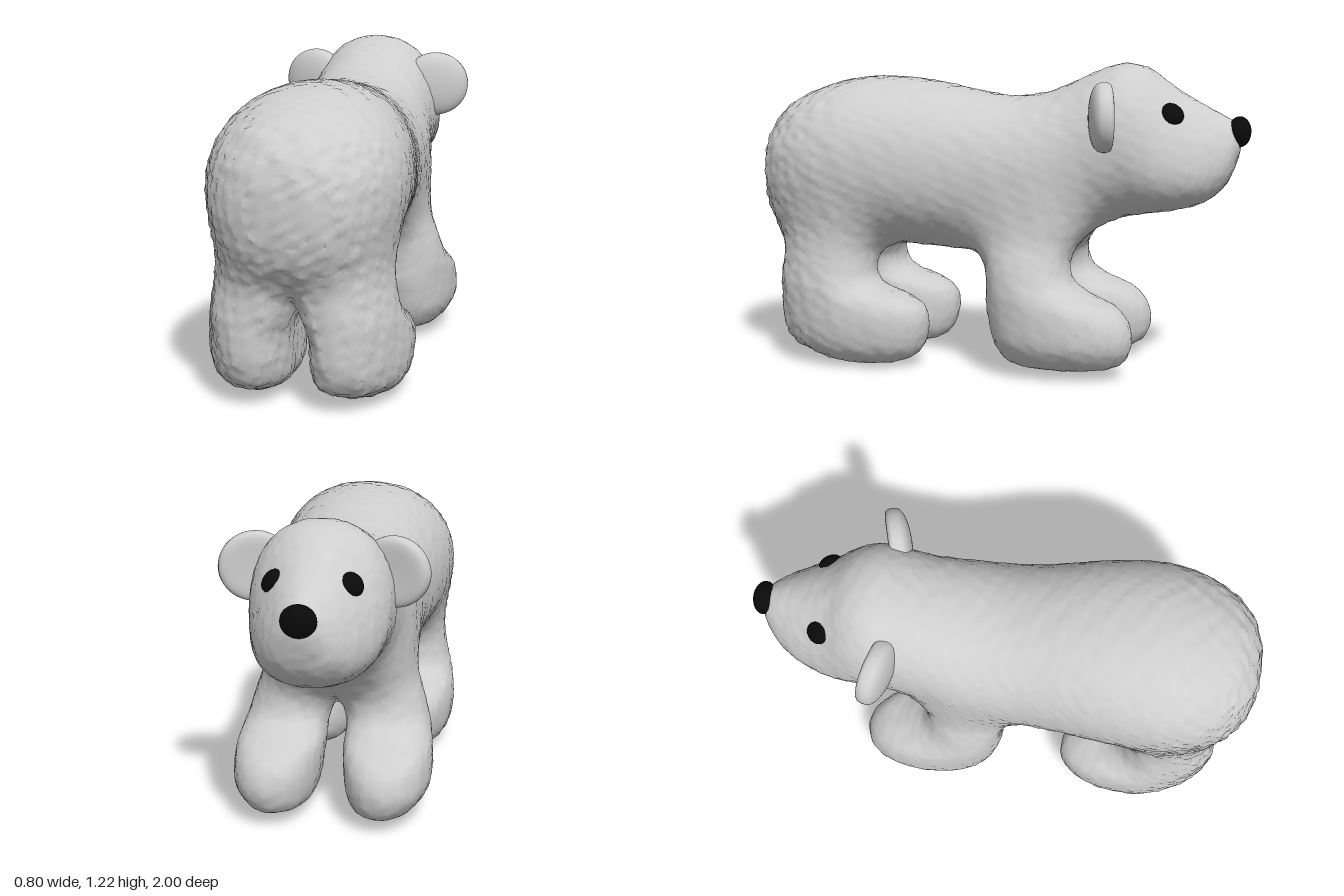
import * as THREE from 'three';

const fur = new THREE.MeshStandardMaterial({ color: 0xcecece });
fur.name = 'light grey fur';
const black = new THREE.MeshStandardMaterial({ color: 0x0a0a0a });
black.name = 'black';

// Body and head, snout to rump: [z, half width, bottom, top]
const bodyKeys = [
  [-0.965, 0, 0.93, 0.93],
  [-0.95, 0.06, 0.86, 0.99],
  [-0.91, 0.115, 0.76, 1.02],
  [-0.83, 0.172, 0.69, 1.06],
  [-0.7, 0.225, 0.65, 1.135],
  [-0.6, 0.258, 0.635, 1.205],
  [-0.5, 0.27, 0.615, 1.225],
  [-0.4, 0.27, 0.57, 1.195],
  [-0.3, 0.28, 0.5, 1.15],
  [-0.2, 0.3, 0.46, 1.11],
  [-0.05, 0.31, 0.455, 1.09],
  [0.1, 0.315, 0.46, 1.11],
  [0.25, 0.335, 0.47, 1.14],
  [0.42, 0.36, 0.48, 1.16],
  [0.6, 0.37, 0.48, 1.155],
  [0.75, 0.345, 0.48, 1.115],
  [0.87, 0.285, 0.5, 1.06],
  [0.95, 0.2, 0.56, 0.98],
  [0.985, 0.11, 0.66, 0.89],
  [0.995, 0, 0.78, 0.78],
].map(([z, w, lo, hi]) => [z, -w, w, lo, hi]);

// Legs, sole to hip: [y, z front, z back, x inner, x outer]
const rearLegKeys = [
  [0.008, 0.5, 0.5, 0.2, 0.2],
  [0.015, 0.4, 0.62, 0.13, 0.27],
  [0.045, 0.31, 0.75, 0.08, 0.33],
  [0.1, 0.265, 0.85, 0.05, 0.37],
  [0.18, 0.25, 0.885, 0.045, 0.385],
  [0.24, 0.265, 0.89, 0.045, 0.385],
  [0.285, 0.33, 0.89, 0.045, 0.38],
  [0.32, 0.43, 0.89, 0.04, 0.375],
  [0.37, 0.48, 0.89, 0.025, 0.365],
  [0.45, 0.485, 0.885, 0, 0.35],
  [0.52, 0.48, 0.88, 0, 0.34],
  [0.65, 0.47, 0.86, 0, 0.31],
  [0.8, 0.52, 0.78, 0.05, 0.24],
  [0.86, 0.65, 0.65, 0.15, 0.15],
];
const frontLegKeys = [
  [0.035, -0.3, -0.3, 0.22, 0.22],
  [0.042, -0.45, -0.15, 0.14, 0.29],
  [0.07, -0.545, -0.07, 0.08, 0.34],
  [0.14, -0.58, -0.03, 0.055, 0.385],
  [0.22, -0.57, -0.01, 0.045, 0.39],
  [0.28, -0.52, 0, 0.04, 0.385],
  [0.33, -0.41, 0, 0.04, 0.375],
  [0.38, -0.34, 0.005, 0.03, 0.36],
  [0.45, -0.32, 0.02, 0.01, 0.34],
  [0.52, -0.33, 0.05, 0, 0.315],
  [0.62, -0.35, 0.07, 0, 0.285],
  [0.76, -0.3, 0.02, 0.05, 0.22],
  [0.82, -0.14, -0.14, 0.14, 0.14],
];

// Approximate signed distance to a limb given by oval sections along w.
// taper(w) narrows the upper part of a section.
function limb(keys, power, taper = () => 0) {
  const uCurve = new THREE.CatmullRomCurve3(keys.map(k => new THREE.Vector3(k[0], k[1], k[2])));
  const vCurve = new THREE.CatmullRomCurve3(keys.map(k => new THREE.Vector3(k[0], k[3], k[4])));
  const us = uCurve.getPoints(200), vs = vCurve.getPoints(200);
  return (u, v, w) => {
    const at = THREE.MathUtils.clamp(w, us[0].x, us[200].x);
    let lo = 0, hi = 200;
    while (hi - lo > 1) {
      const mid = (lo + hi) >> 1;
      if (us[mid].x <= at) lo = mid; else hi = mid;
    }
    const t = (at - us[lo].x) / Math.max(us[hi].x - us[lo].x, 1e-6);
    const mix = (list, axis) => list[lo][axis] + (list[hi][axis] - list[lo][axis]) * t;
    const u0 = mix(us, 'y'), u1 = mix(us, 'z'), v0 = mix(vs, 'y'), v1 = mix(vs, 'z');
    const ru = Math.max((u1 - u0) / 2, 0.01), rv = Math.max((v1 - v0) / 2, 0.01);
    const b = (v - (v0 + v1) / 2) / rv;
    const a = (u - (u0 + u1) / 2) / ru / (1 - taper(at) * THREE.MathUtils.clamp(b, -1, 1));
    const r = (Math.abs(a) ** power + Math.abs(b) ** power) ** (1 / power);
    return (r - 1) * Math.min(ru, rv) + Math.abs(w - at);
  };
}

const torso = limb(bodyKeys, 2.15, z => 0.25 * THREE.MathUtils.smoothstep(-z, 0.5, 0.75));
const rearLeg = limb(rearLegKeys, 2.15);
const frontLeg = limb(frontLegKeys, 2.15);

function blend(a, b, k) {
  const h = Math.max(k - Math.abs(a - b), 0) / k;
  return Math.min(a, b) - h * h * k / 4;
}

// Torso and four legs melted together; the heels of the rear feet turn inwards
function bearField(x, y, z) {
  const side = Math.abs(x);
  const heelIn = 0.16 * Math.max(0, z - 0.6);
  const back = blend(torso(x, y, z), rearLeg(z, side + heelIn, y), 0.11);
  return blend(back, frontLeg(z, side, y), 0.1);
}

// Smooth skin around the field: one vertex per grid cell, one quad per crossed grid edge
function skin(field, min, count, step) {
  const stride = [1, count[0], count[0] * count[1]];
  const values = new Float32Array(count[0] * count[1] * count[2]);
  const place = (i, j, k) => [min[0] + i * step, min[1] + j * step, min[2] + k * step];
  const each = visit => {
    for (let k = 0; k < count[2]; k++)
      for (let j = 0; j < count[1]; j++)
        for (let i = 0; i < count[0]; i++) visit(i + j * stride[1] + k * stride[2], place(i, j, k));
  };
  each((n, p) => { values[n] = field(...p); });

  const cells = new Map(), sums = [], index = [];
  const vertex = (cell, p) => {
    if (!cells.has(cell)) {
      cells.set(cell, sums.length);
      sums.push([0, 0, 0, 0]);
    }
    const id = cells.get(cell), sum = sums[id];
    p.forEach((value, axis) => { sum[axis] += value; });
    sum[3]++;
    return id;
  };
  each((n, p) => {
    for (let axis = 0; axis < 3; axis++) {
      const inside = values[n] < 0, next = n + stride[axis];
      if (next >= values.length || inside === values[next] < 0) continue;
      let lo = 0, hi = step;
      const hit = [...p];
      for (let s = 0; s < 8; s++) {
        const mid = (lo + hi) / 2;
        hit[axis] = p[axis] + mid;
        if (field(...hit) < 0 === inside) lo = mid; else hi = mid;
      }
      const b = stride[(axis + 1) % 3], c = stride[(axis + 2) % 3];
      const quad = [n - b - c, n - c, n, n - b].map(cell => vertex(cell, hit));
      if (!inside) quad.reverse();
      index.push(quad[0], quad[1], quad[2], quad[0], quad[2], quad[3]);
    }
  });
  const geometry = new THREE.BufferGeometry();
  const points = sums.flatMap(s => [s[0] / s[3], s[1] / s[3], s[2] / s[3]]);
  geometry.setAttribute('position', new THREE.Float32BufferAttribute(points, 3));
  geometry.setIndex(index);
  geometry.computeVertexNormals();
  return geometry;
}

// Slightly shaggy coat, rougher on the rump
function ruffle(geometry) {
  const pos = geometry.attributes.position, nor = geometry.attributes.normal;
  for (let i = 0; i < pos.count; i++) {
    const x = pos.getX(i), y = pos.getY(i), z = pos.getZ(i);
    const bump = Math.sin(x * 61 + Math.sin(y * 47) * 2) * Math.sin(y * 67 + z * 23) * Math.sin(z * 71 + x * 19);
    const d = bump * (0.003 + 0.005 * THREE.MathUtils.smoothstep(z, 0.45, 0.9));
    pos.setXYZ(i, x + nor.getX(i) * d, y + nor.getY(i) * d, z + nor.getZ(i) * d);
  }
  geometry.computeVertexNormals();
  return geometry;
}

// Puffy ear: a thick-rimmed disc with a shallow hollow on the face side
function earGeometry() {
  const geometry = new THREE.SphereGeometry(1, 32, 24);
  const pos = geometry.attributes.position;
  for (let i = 0; i < pos.count; i++) {
    const x = pos.getX(i), y = pos.getY(i), z = pos.getZ(i);
    const puffed = Math.sign(z) * Math.abs(z) ** 0.7;
    pos.setZ(i, z < 0 ? puffed + 0.5 * (1 - x * x - y * y) : puffed);
  }
  geometry.scale(0.14, 0.133, 0.06);
  geometry.computeVertexNormals();
  return geometry;
}

function add(group, name, geometry, material) {
  const mesh = new THREE.Mesh(geometry, material);
  mesh.name = name;
  group.add(mesh);
  return mesh;
}

export function createModel() {
  const bear = new THREE.Group();
  bear.name = 'bear';
  add(bear, 'bodyAndLegs', ruffle(skin(bearField, [-0.46, -0.05, -1.04], [47, 67, 105], 0.02)), fur);

  for (const side of [1, -1]) {
    const label = side > 0 ? 'left' : 'right';
    const ear = add(bear, label + 'Ear', earGeometry(), fur);
    ear.position.set(side * 0.262, 1.03, -0.472);
    ear.rotation.y = side * 0.28;

    // Eye disc lying on the slope of the face
    const eye = add(bear, label + 'Eye', new THREE.SphereGeometry(1, 20, 14), black);
    eye.scale.set(0.047, 0.045, 0.026);
    eye.position.set(side * 0.146, 1.04, -0.715);
    eye.quaternion.setFromUnitVectors(
      new THREE.Vector3(0, 0, 1), new THREE.Vector3(side * 0.62, 0.62, -0.48).normalize());
  }

  const nose = add(bear, 'nose', new THREE.SphereGeometry(1, 24, 16), black);
  nose.scale.set(0.066, 0.06, 0.045);
  nose.position.set(0, 0.965, -0.955);
  return bear;
}
